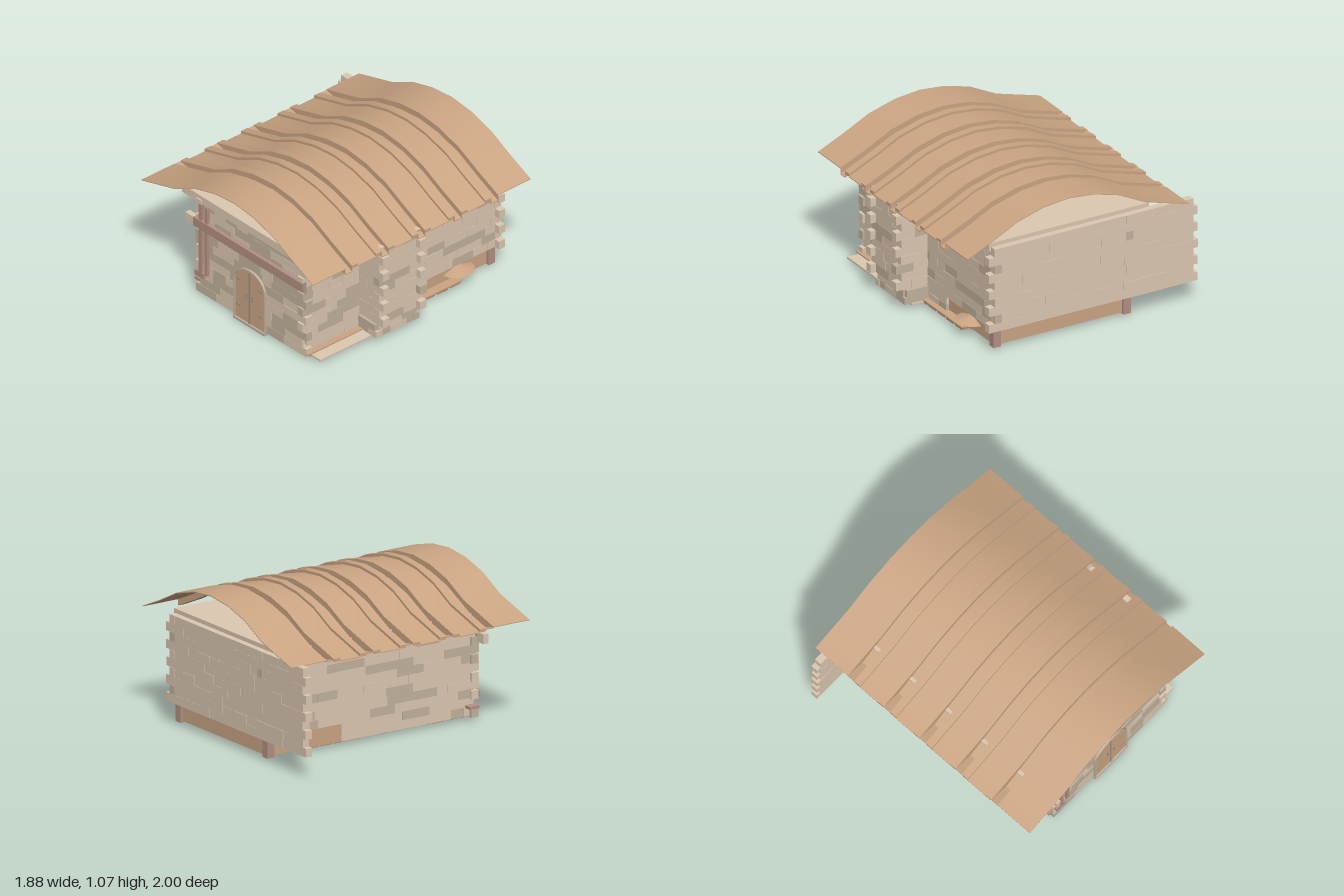
import * as THREE from 'three';
import { mergeGeometries, toCreasedNormals } from 'three/addons/utils/BufferGeometryUtils.js';

const mat = (color, flatShading = true) => new THREE.MeshStandardMaterial({ color, flatShading, side: THREE.DoubleSide });
const stone = mat(0xdcc8b1), darkStone = mat(0xc2b29d), wood = mat(0xcba583), roofWood = mat(0xcba583, false);
const beamWood = mat(0xb39083), tileWood = mat(0xb08c6e), carpet = mat(0xb8ad9b), metal = mat(0x9d9484);

let seed = 7;
const rand = () => (seed = (seed * 16807) % 2147483647) / 2147483647;

export function createModel() {
  const model = new THREE.Group();

  const add = (name, geo, material, parent = model) => {
    const m = new THREE.Mesh(geo, material);
    m.name = name;
    parent.add(m);
    return m;
  };
  const boxGeo = (x0, x1, y0, y1, z0, z1) =>
    new THREE.BoxGeometry(x1 - x0, y1 - y0, z1 - z0).translate((x0 + x1) / 2, (y0 + y1) / 2, (z0 + z1) / 2);
  const box = (name, material, ...b) => add(name, boxGeo(...b), material);

  // A wall of staggered blocks; alternate courses run past the corners and interlock
  function wall(name, axis, a, b, at, { y0 = 0.16, y1 = 0.79, rows = 10, parity = 0, dark = 0.27, endA = 0.045, endB = 0.045 } = {}) {
    const group = new THREE.Group();
    group.name = name;
    model.add(group);
    const light = [], shade = [];
    const h = (y1 - y0) / rows;
    for (let r = 0; r < rows; r++) {
      const out = (r + parity) % 2 === 0;
      const end = b + (out ? endB : 0);
      let p = a - (out ? endA : 0);
      while (p < end - 0.001) {
        let q = p + 0.09 + rand() * 0.14;
        if (end - q < 0.08) q = end;
        const t = 0.025 + rand() * 0.005;
        const y = y0 + r * h;
        const g = axis === 'x' ? boxGeo(p, q, y, y + h, at - t, at + t) : boxGeo(at - t, at + t, y, y + h, p, q);
        (rand() < dark ? shade : light).push(g);
        p = q;
      }
    }
    if (light.length) add(name + 'LightBlocks', mergeGeometries(light), stone, group);
    if (shade.length) add(name + 'DarkBlocks', mergeGeometries(shade), darkStone, group);
  }

  // Upper walls
  const L = 0.655, R = -0.395, F = 0.825, B = -0.92;
  wall('frontWall', 'x', R, L, F, { y0: 0.02, rows: 12, dark: 0.6 });
  wall('backWall', 'x', -0.905, L + 0.03, B, { dark: 0, endA: 0.035 });
  wall('leftFrontWall', 'z', 0.33, F, L, { parity: 1 });
  wall('leftBackWall', 'z', B, -0.01, L, { parity: 1, endA: 0.03 });
  wall('rightWall', 'z', B, F, R, { parity: 1, endA: 0.03 });

  // Side bay
  wall('bayFrontWall', 'x', L, 0.89, 0.325, { dark: 0.1 });
  wall('bayBackWall', 'x', L, 0.89, -0.015, { dark: 0.1 });
  wall('bayOuterWall', 'z', -0.015, 0.325, 0.865, { parity: 1, endA: 0.03, endB: 0.03 });

  // Slightly recessed base courses below the side walls
  const base = { y0: 0.03, y1: 0.16, rows: 2, endA: 0, endB: 0.02 };
  wall('leftBase', 'z', -0.28, F, L - 0.008, base);
  wall('rightBase', 'z', -0.28, F, R + 0.008, base);
  const bayBase = { ...base, y0: 0.04, y1: 0.14 };
  wall('bayFrontBase', 'x', L, 0.845, 0.325, bayBase);
  wall('bayBackBase', 'x', L, 0.845, -0.015, bayBase);
  wall('bayOuterBase', 'z', -0.015, 0.325, 0.835, bayBase);

  // Wooden skirting around the rear of the base
  box('leftSkirt', wood, 0.62, 0.65, 0.03, 0.16, -0.87, -0.28);
  box('rightSkirt', wood, -0.41, -0.38, 0.03, 0.16, -0.87, -0.28);
  box('backSkirt', wood, -0.41, 0.65, 0.03, 0.16, -0.89, -0.86);
  for (const x of [-0.4, 0.64])
    box('cornerPost', beamWood, x - 0.03, x + 0.03, 0.02, 0.17, -0.91, -0.85);
  add('sideMound', new THREE.ConeGeometry(0.13, 0.04, 14), wood).position.set(0.64, 0.12, -0.58);

  // Floor, raised tiles and central runner
  box('floorSlab', wood, -0.4, 0.72, 0.04, 0.05, -0.56, 0.85);
  box('bayFloor', stone, 0.66, 0.81, 0.026, 0.04, -0.05, 0.82);
  for (const [x0, x1] of [[-0.4, 0.0], [0.38, 0.735]]) {
    const tiles = [];
    const n = 4, w = (x1 - x0) / n, d = 0.117, gap = 0.022;
    for (let i = 0; i < n; i++)
      for (let r = 0; r < 12; r++)
        tiles.push(boxGeo(x0 + i * w, x0 + (i + 1) * w - gap, 0.02 + 0.004 * rand(), 0.042, -0.555 + r * d, -0.555 + (r + 1) * d - gap));
    add('floorTiles', mergeGeometries(tiles), tileWood);
  }
  box('runner', carpet, 0.0, 0.36, 0.02, 0.042, -0.1, 0.85);
  box('rearMat', carpet, 0.0, 0.36, 0.022, 0.042, -0.52, -0.14);
  for (const z of [-0.12, -0.57])
    box('floorBeam', wood, -0.39, 0.65, 0.022, 0.06, z - 0.012, z + 0.012);

  // Short columns in the rear room
  const profile = [[0, 0], [0.042, 0], [0.042, 0.03], [0.03, 0.04], [0.03, 0.2], [0.042, 0.21], [0.042, 0.24], [0, 0.24]];
  for (const [x, z] of [[0.46, -0.74], [-0.17, -0.82], [0.03, -0.69], [-0.16, -0.4]])
    add('rearColumn', new THREE.LatheGeometry(profile.map((p) => new THREE.Vector2(...p)), 8), stone).position.set(x, 0.018, z);

  // Arched double door with frame, seam, hinges and handles
  const arch = (x0, x1, y0, ySpring, yTop) => {
    const s = new THREE.Shape();
    s.moveTo(x0, y0).lineTo(x1, y0).lineTo(x1, ySpring);
    s.absellipse((x0 + x1) / 2, ySpring, (x1 - x0) / 2, yTop - ySpring, 0, Math.PI, false, 0);
    return s;
  };
  const extrude = (s, depth, z) => new THREE.ExtrudeGeometry(s, { depth, bevelEnabled: false, curveSegments: 10 }).translate(0, 0, z);
  const frame = arch(-0.035, 0.29, 0.005, 0.33, 0.458);
  frame.holes.push(arch(-0.023, 0.278, 0.015, 0.33, 0.447));
  add('doorFrame', extrude(frame, 0.03, 0.84), darkStone);
  add('doorLeaves', extrude(arch(-0.023, 0.278, 0.015, 0.33, 0.447), 0.02, 0.842), wood);
  box('doorSeam', metal, 0.121, 0.134, 0.02, 0.44, 0.85, 0.868);
  for (const side of [-1, 1]) {
    const x = 0.1275 + side * 0.03, hx = 0.1275 + side * 0.115;
    box('doorHandle', metal, x - 0.005, x + 0.005, 0.21, 0.26, 0.855, 0.87);
    for (const y of [0.12, 0.33])
      box('doorHinge', metal, hx - 0.022, hx + 0.022, y, y + 0.012, 0.855, 0.866);
  }
  box('doorSill', darkStone, -0.035, 0.29, 0, 0.02, 0.83, 0.875);

  // Facade timbers and ceiling
  box('lintelBeam', beamWood, -0.44, 0.69, 0.56, 0.63, 0.84, 0.88);
  box('lintelBeamEnd', stone, -0.52, -0.44, 0.56, 0.63, 0.84, 0.88);
  for (const x of [-0.375, -0.315])
    box('facadePost', beamWood, x - 0.014, x + 0.014, 0.2, 0.76, 0.84, 0.874);
  box('postFoot', beamWood, -0.43, -0.34, 0.16, 0.2, 0.84, 0.874);
  box('sideBracket', beamWood, -0.47, -0.41, 0.09, 0.11, 0.76, 0.84);
  box('ceiling', stone, -0.58, 0.7, 0.76, 0.82, -0.9, 0.86);

  // Arched roof: thin strips at three heights, closed by risers beside each sunken rafter
  const lower = (points, d) => points.map(([x, y]) => [x, y - d]);
  const curve = [[-0.84, 0.79], [-0.49, 0.89], [-0.28, 0.995], [-0.08, 1.05], [0.12, 1.07], [0.32, 1.05], [0.53, 0.99], [0.73, 0.89], [0.935, 0.798]];
  const rafterCurve = [[-0.84, 0.785], [-0.69, 0.755], [-0.56, 0.817], ...lower(curve.slice(2), 0.045)];
  const strip = (name, z0, z1, top, bottom = lower(top, 0.006)) => {
    const shape = new THREE.Shape([...top, ...[...bottom].reverse()].map((p) => new THREE.Vector2(...p)));
    add(name, toCreasedNormals(extrude(shape, z1 - z0, z0), 0.6), roofWood);
  };
  strip('roofEndSheet', 0.7, 1, curve);
  strip('roofEndSheet', -1, -0.7, curve);
  const centres = [0.67, 0.335, 0, -0.335, -0.67];
  centres.forEach((c, i) => {
    strip('roofRafter', c - 0.03, c + 0.03, rafterCurve);
    for (const z of [c - 0.033, c + 0.029])
      strip('roofRiser', z, z + 0.004, curve, lower(rafterCurve, 0.005));
    if (i > 0) strip('roofRib', c + 0.033, c + 0.085, curve, lower(curve, 0.022));
    if (i < 4) {
      strip('roofRib', c - 0.085, c - 0.033, curve, lower(curve, 0.022));
      strip('roofSheet', c - 0.25, c - 0.085, lower(curve, 0.02));
    }
  });

  return model;
}
